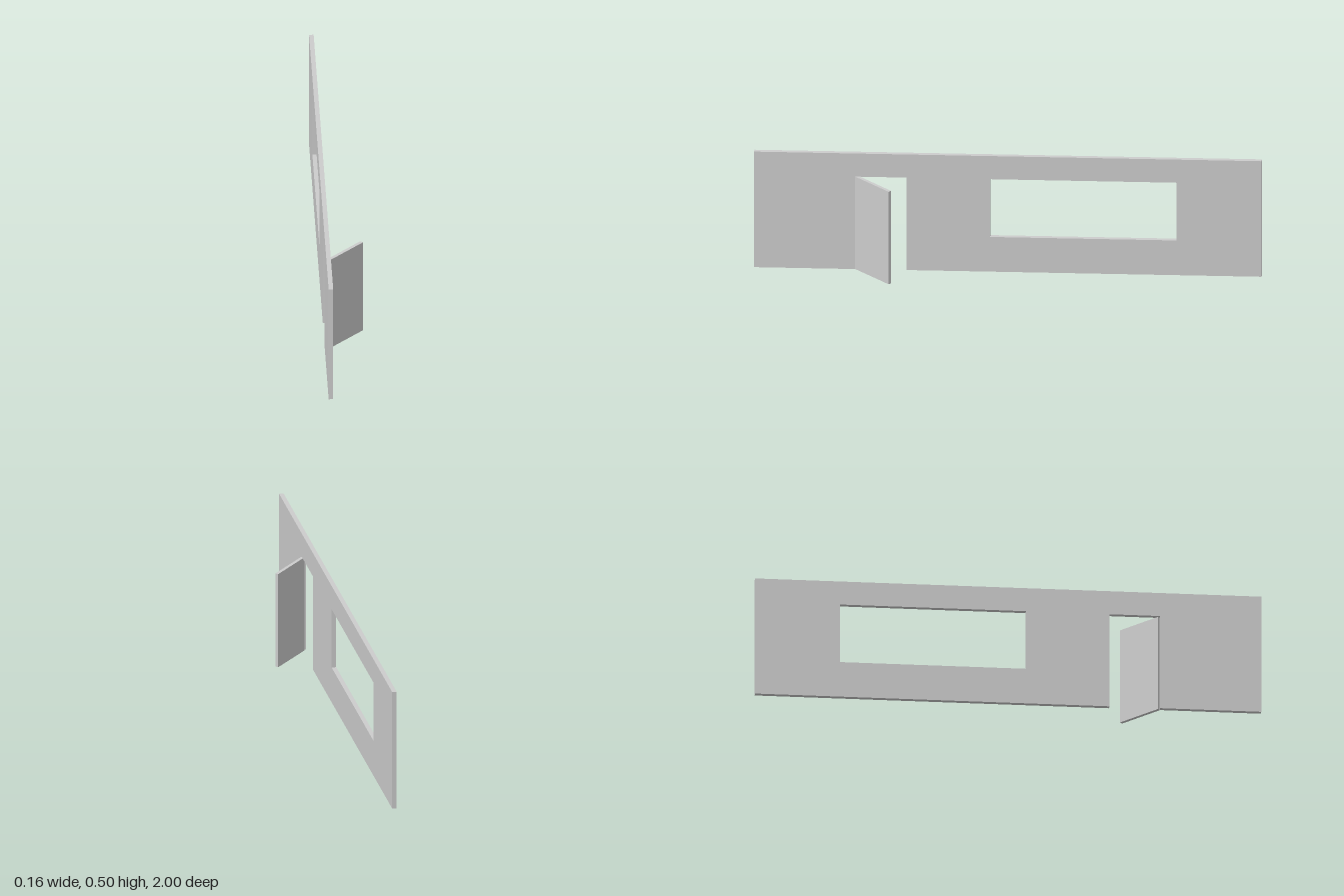
import * as THREE from 'three';

export function createModel() {
  const model = new THREE.Group();
  const material = new THREE.MeshStandardMaterial({ color: 0xcccccc, flatShading: true });
  const points = (list) => list.map(([z, y]) => new THREE.Vector2(-z, y));

  // Wall outline as [z, y], notched at the floor for the doorway
  const outline = new THREE.Shape(points([
    [1, 0], [0.6, 0], [0.6, 0.4], [0.4, 0.4], [0.4, 0], [-1, 0], [-1, 0.5], [1, 0.5],
  ]));
  // Wide window opening
  outline.holes.push(new THREE.Path(points([
    [0.07, 0.15], [0.07, 0.4], [-0.665, 0.4], [-0.665, 0.15],
  ])));

  const wallGeometry = new THREE.ExtrudeGeometry(outline, { depth: 0.018, bevelEnabled: false });
  wallGeometry.rotateY(Math.PI / 2);
  const wall = new THREE.Mesh(wallGeometry, material);
  wall.name = 'wall';
  wall.position.x = -0.078;
  model.add(wall);

  // Door leaf, swung open by 45 degrees
  const door = new THREE.Mesh(new THREE.BoxGeometry(0.195, 0.4, 0.0135), material);
  door.name = 'door';
  door.position.set(0.004, 0.2, 0.528);
  door.rotation.y = Math.PI / 4;
  model.add(door);

  return model;
}
